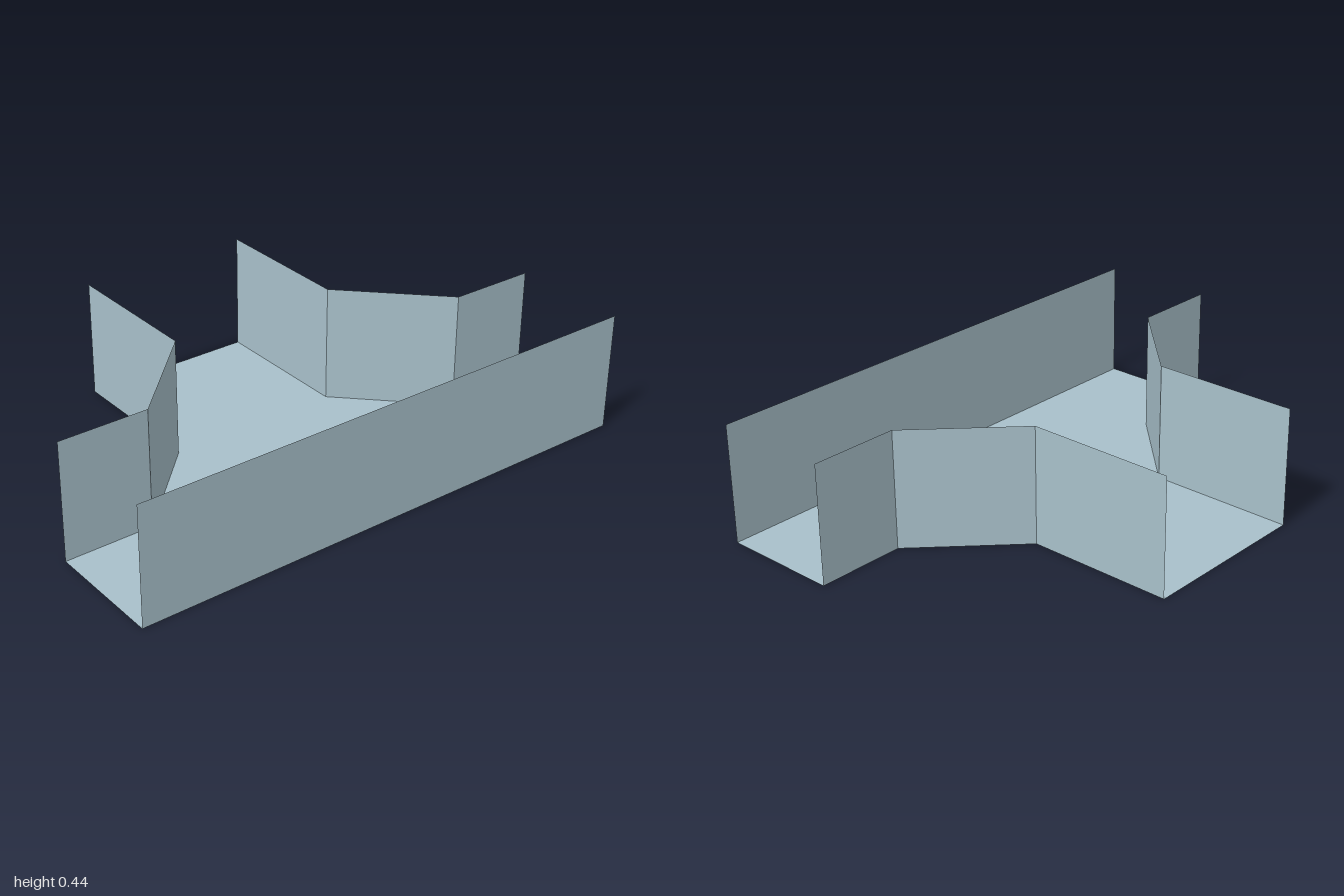
import * as THREE from 'three';

const HEIGHT = 0.445;
const FRONT = 0.665;

// Plan outline of one side wall, from the branch end to the run end (x, z)
const SIDE = [[0.333, -0.667], [0.333, -0.111], [0.667, 0.222], [1, 0.222]];

export function createModel() {
  const model = new THREE.Group();
  model.name = 'cableTrayTee';
  const steel = new THREE.MeshStandardMaterial({ color: 0xa8c0ca, side: THREE.DoubleSide });
  steel.name = 'paleBlueSteel';

  // Upright sheet between two plan points
  function addWall(name, [x1, z1], [x2, z2]) {
    const wall = new THREE.Mesh(
      new THREE.PlaneGeometry(Math.hypot(x2 - x1, z2 - z1), HEIGHT), steel);
    wall.position.set((x1 + x2) / 2, HEIGHT / 2, (z1 + z2) / 2);
    wall.rotation.y = -Math.atan2(z2 - z1, x2 - x1);
    wall.name = name;
    model.add(wall);
  }

  // Flat T-shaped floor with mitred inner corners
  const right = SIDE.map(([x, z]) => new THREE.Vector2(-x, -z)).reverse();
  const left = SIDE.map(([x, z]) => new THREE.Vector2(x, -z));
  const outline = [
    new THREE.Vector2(-1, -FRONT), ...right, ...left, new THREE.Vector2(1, -FRONT),
  ].reverse();
  const floor = new THREE.Mesh(new THREE.ShapeGeometry(new THREE.Shape(outline)), steel);
  floor.rotation.x = -Math.PI / 2;
  floor.name = 'floor';
  model.add(floor);

  // Long front wall
  addWall('frontWall', [-1, FRONT], [1, FRONT]);

  // Mirrored branch, mitre and run walls
  const parts = ['BranchWall', 'MitreWall', 'RunWall'];
  for (const [side, s] of [['left', 1], ['right', -1]]) {
    parts.forEach((part, i) => {
      const ends = [SIDE[i], SIDE[i + 1]].map(([x, z]) => [s * x, z]);
      // Ordered so that each wall faces outward
      if (s > 0) ends.reverse();
      addWall(side + part, ends[0], ends[1]);
    });
  }

  return model;
}
